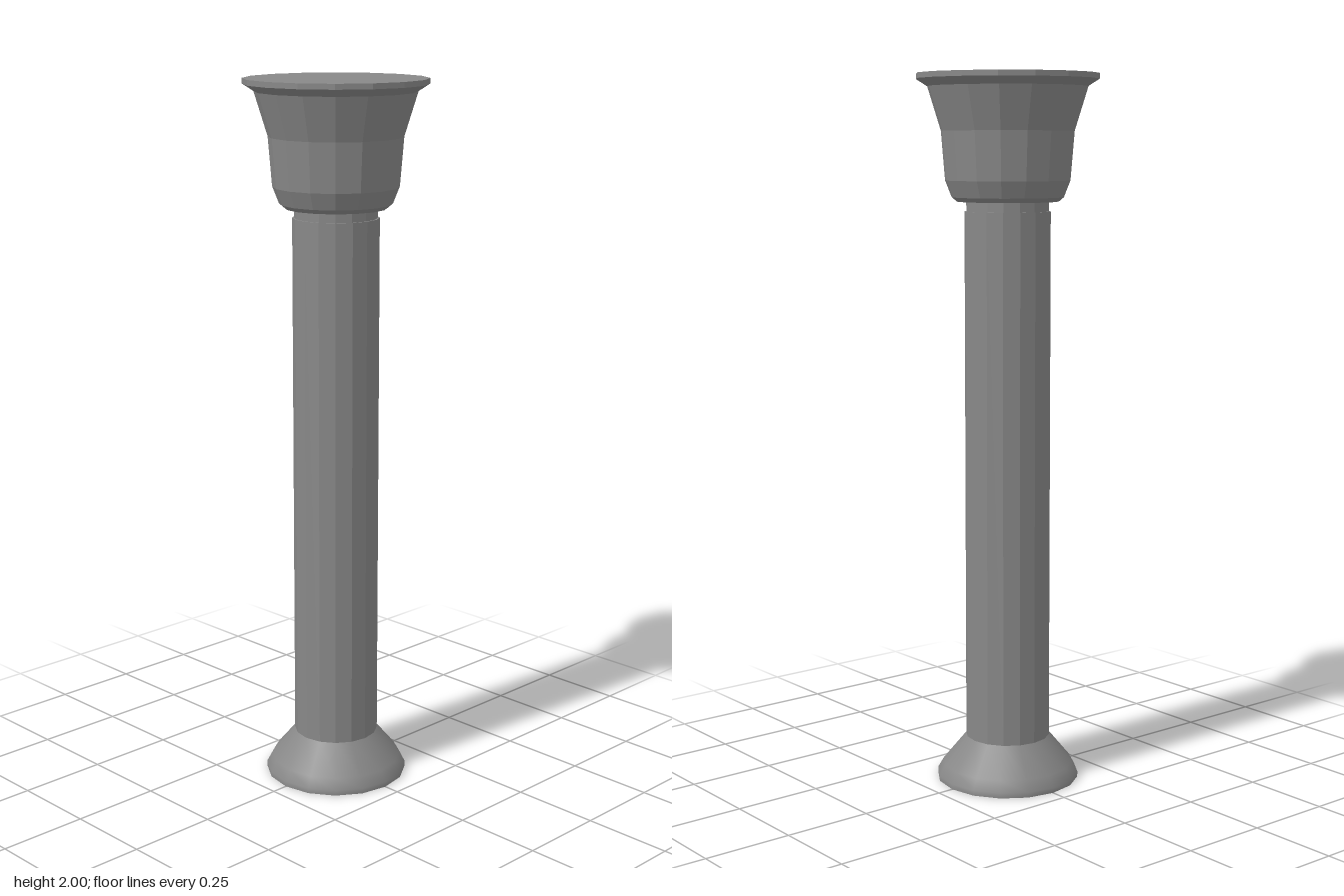
import * as THREE from 'three';

const SIDES = 16;

// Lathed part from a bottom-to-top list of [radius, height] points
function turned(name, profile, flatShading) {
  const points = profile.map(([r, y]) => new THREE.Vector2(r, y));
  const material = new THREE.MeshStandardMaterial({ color: 0x888888, flatShading });
  const mesh = new THREE.Mesh(new THREE.LatheGeometry(points, SIDES), material);
  mesh.name = name;
  return mesh;
}

export function createModel() {
  const column = new THREE.Group();
  column.name = 'column';

  // Flared foot, smooth around its side
  column.add(turned('base', [
    [0.203, 0], [0.203, 0.015], [0.186, 0.045], [0.12, 0.125],
  ], false));

  // Flat underside of the foot
  column.add(turned('baseUnderside', [[0, 0], [0.203, 0]], true));

  // Faceted shaft with a slightly recessed neck
  column.add(turned('shaft', [[0.12, 0.125], [0.12, 1.625], [0.115, 1.625]], true));
  column.add(turned('neck', [[0.115, 1.625], [0.115, 1.652]], true));

  // Bell-shaped capital with a thin flaring rim and a closed top
  column.add(turned('capital', [
    [0.115, 1.652], [0.142, 1.652], [0.156, 1.664], [0.174, 1.71],
    [0.185, 1.845], [0.222, 1.965],
    [0.253, 1.985], [0.253, 2], [0, 2],
  ], true));

  return column;
}
